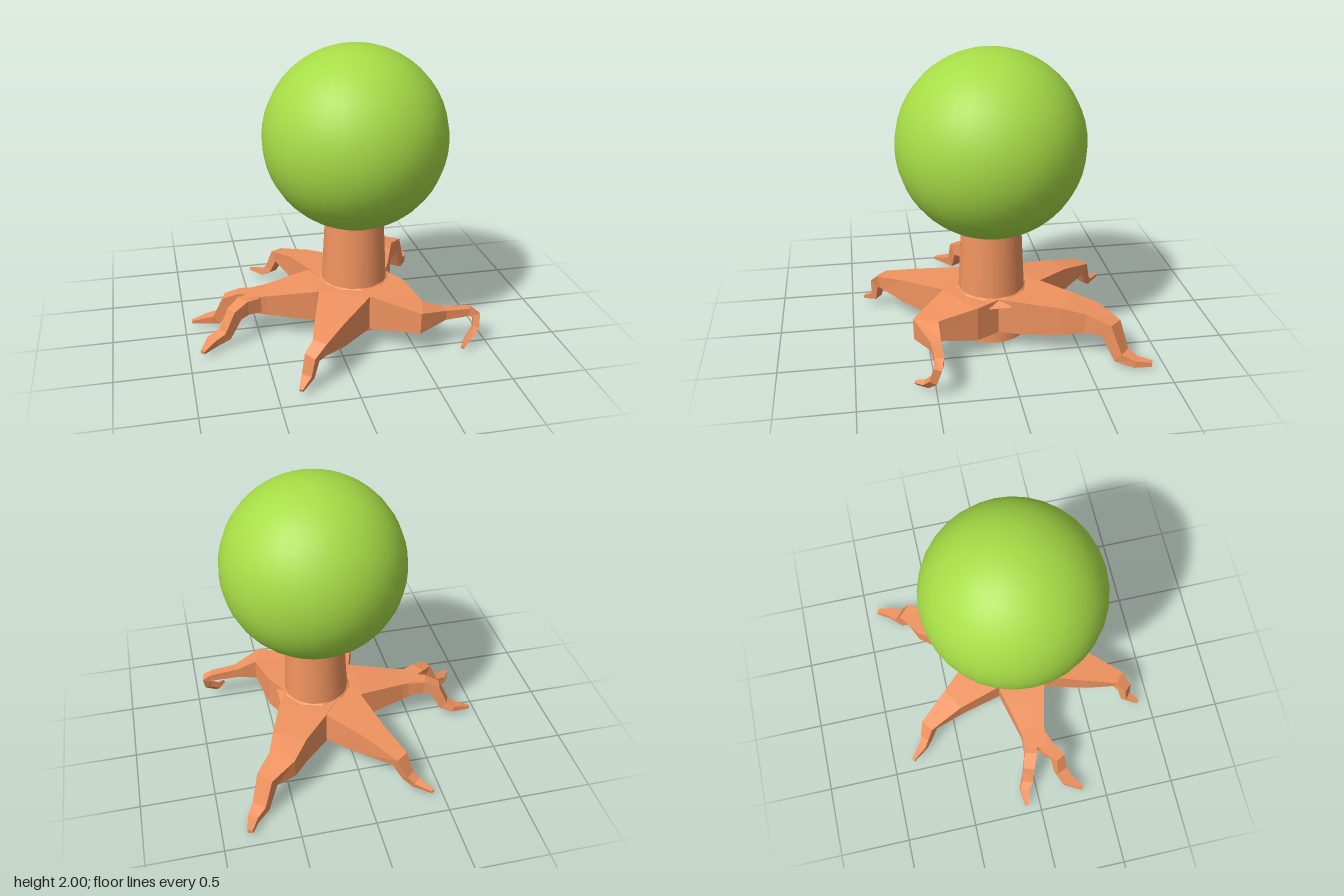
import * as THREE from 'three';

const CX = 0.18, CZ = 0.05; // axis of the trunk

const bark = new THREE.MeshStandardMaterial({ color: 0xf0935f });
const barkFlat = new THREE.MeshStandardMaterial({ color: 0xf0935f, flatShading: true });
const leaf = new THREE.MeshStandardMaterial({ color: 0xa6dc46 });

// Four-sided tapering limb through sections [x, y, z, width, height]
function limb(sections) {
  const pts = sections.map(s => new THREE.Vector3(s[0], s[1], s[2]));
  const n = pts.length, pos = [], idx = [];
  let side = null;
  pts.forEach((p, i) => {
    const t = new THREE.Vector3();
    if (i > 0) t.add(p.clone().sub(pts[i - 1]).normalize());
    if (i < n - 1) t.add(pts[i + 1].clone().sub(p).normalize());
    t.normalize();
    // carry the side direction along the path so the limb does not twist
    side = side ? side.clone().addScaledVector(t, -side.dot(t)).normalize()
      : t.clone().cross(new THREE.Vector3(0, 1, 0)).normalize();
    const up = side.clone().cross(t);
    const [, , , w, h] = sections[i];
    for (const [a, b] of [[1, 1], [-1, 1], [-1, -1], [1, -1]]) {
      const v = p.clone().addScaledVector(side, a * w / 2).addScaledVector(up, b * h / 2);
      pos.push(v.x, v.y, v.z);
    }
    if (i < n - 1) {
      for (let k = 0; k < 4; k++) {
        const a = i * 4 + k, b = i * 4 + (k + 1) % 4;
        idx.push(a, a + 4, b + 4, a, b + 4, b);
      }
    }
  });
  const e = (n - 1) * 4;
  idx.push(0, 1, 2, 0, 2, 3, e + 3, e + 2, e + 1, e + 3, e + 1, e);
  const indexed = new THREE.BufferGeometry();
  indexed.setAttribute('position', new THREE.Float32BufferAttribute(pos, 3));
  indexed.setIndex(idx);
  const geo = indexed.toNonIndexed();
  geo.computeVertexNormals();
  return geo;
}

// Every root swells out of the trunk before following its own path
const hub = [CX, 0.24, CZ, 0.42, 0.245];
const roots = {
  backLeftRoot: [hub, [0.32, 0.24, -0.19, 0.35, 0.24], [0.46, 0.245, -0.42, 0.24, 0.2],
    [0.54, 0.245, -0.57, 0.19, 0.14], [0.66, 0.23, -0.67, 0.12, 0.11],
    [0.72, 0.055, -0.73, 0.1, 0.08], [0.785, 0.035, -0.81, 0.07, 0.05], [0.82, 0.035, -0.91, 0.035, 0.03]],
  backRightRoot: [hub, [0.04, 0.24, -0.2, 0.33, 0.235], [-0.11, 0.235, -0.47, 0.18, 0.17],
    [-0.24, 0.225, -0.68, 0.1, 0.08], [-0.29, 0.1, -0.72, 0.07, 0.06],
    [-0.34, 0.055, -0.76, 0.06, 0.045], [-0.43, 0.045, -0.855, 0.025, 0.02]],
  rightRoot: [hub, [-0.12, 0.24, CZ, 0.34, 0.22], [-0.45, 0.24, CZ, 0.18, 0.14],
    [-0.6, 0.25, CZ, 0.14, 0.1]],
  rightRootBackFork: [[-0.5, 0.245, 0.02, 0.11, 0.11], [-0.62, 0.25, 0.0, 0.09, 0.1],
    [-0.7, 0.22, -0.03, 0.08, 0.09], [-0.77, 0.085, -0.055, 0.08, 0.07],
    [-0.83, 0.065, -0.09, 0.07, 0.05], [-0.95, 0.045, -0.1, 0.025, 0.02]],
  rightRootFrontFork: [[-0.5, 0.245, 0.08, 0.11, 0.11], [-0.61, 0.25, 0.13, 0.1, 0.1],
    [-0.68, 0.23, 0.19, 0.08, 0.09], [-0.75, 0.09, 0.2, 0.08, 0.07],
    [-0.84, 0.065, 0.24, 0.08, 0.05], [-0.915, 0.045, 0.335, 0.03, 0.02]],
  frontRightRoot: [hub, [0.05, 0.24, 0.31, 0.35, 0.24], [-0.11, 0.24, 0.59, 0.2, 0.17],
    [-0.21, 0.25, 0.77, 0.1, 0.09], [-0.27, 0.21, 0.81, 0.08, 0.07],
    [-0.3, 0.085, 0.825, 0.07, 0.05], [-0.36, 0.045, 0.91, 0.025, 0.02]],
  frontLeftRoot: [hub, [0.36, 0.24, 0.29, 0.35, 0.24], [0.53, 0.245, 0.53, 0.17, 0.15],
    [0.7, 0.235, 0.485, 0.07, 0.07], [0.88, 0.23, 0.48, 0.06, 0.055],
    [0.93, 0.2, 0.495, 0.055, 0.05], [0.92, 0.12, 0.52, 0.05, 0.045],
    [0.85, 0.055, 0.56, 0.045, 0.04], [0.795, 0.035, 0.625, 0.02, 0.02]],
};

export function createModel() {
  const group = new THREE.Group();
  const add = (name, geo, mat, x = 0, y = 0, z = 0) => {
    const mesh = new THREE.Mesh(geo, mat);
    mesh.name = name;
    mesh.position.set(x, y, z);
    group.add(mesh);
  };

  // Round crown and tapering trunk
  add('crown', new THREE.SphereGeometry(0.62, 32, 24), leaf, CX, 1.38, CZ);
  add('trunk', new THREE.CylinderGeometry(0.2, 0.24, 0.79, 32), bark, CX, 0.435, CZ);

  // Collar where the roots leave the trunk, and the taproot below
  add('rootCollar', new THREE.CylinderGeometry(0.23, 0.29, 0.05, 10), barkFlat, CX, 0.345, CZ);
  add('taproot', new THREE.ConeGeometry(0.09, 0.045, 8).rotateX(Math.PI), barkFlat, CX, 0.0225, CZ);

  for (const [name, sections] of Object.entries(roots)) add(name, limb(sections), barkFlat);
  return group;
}
